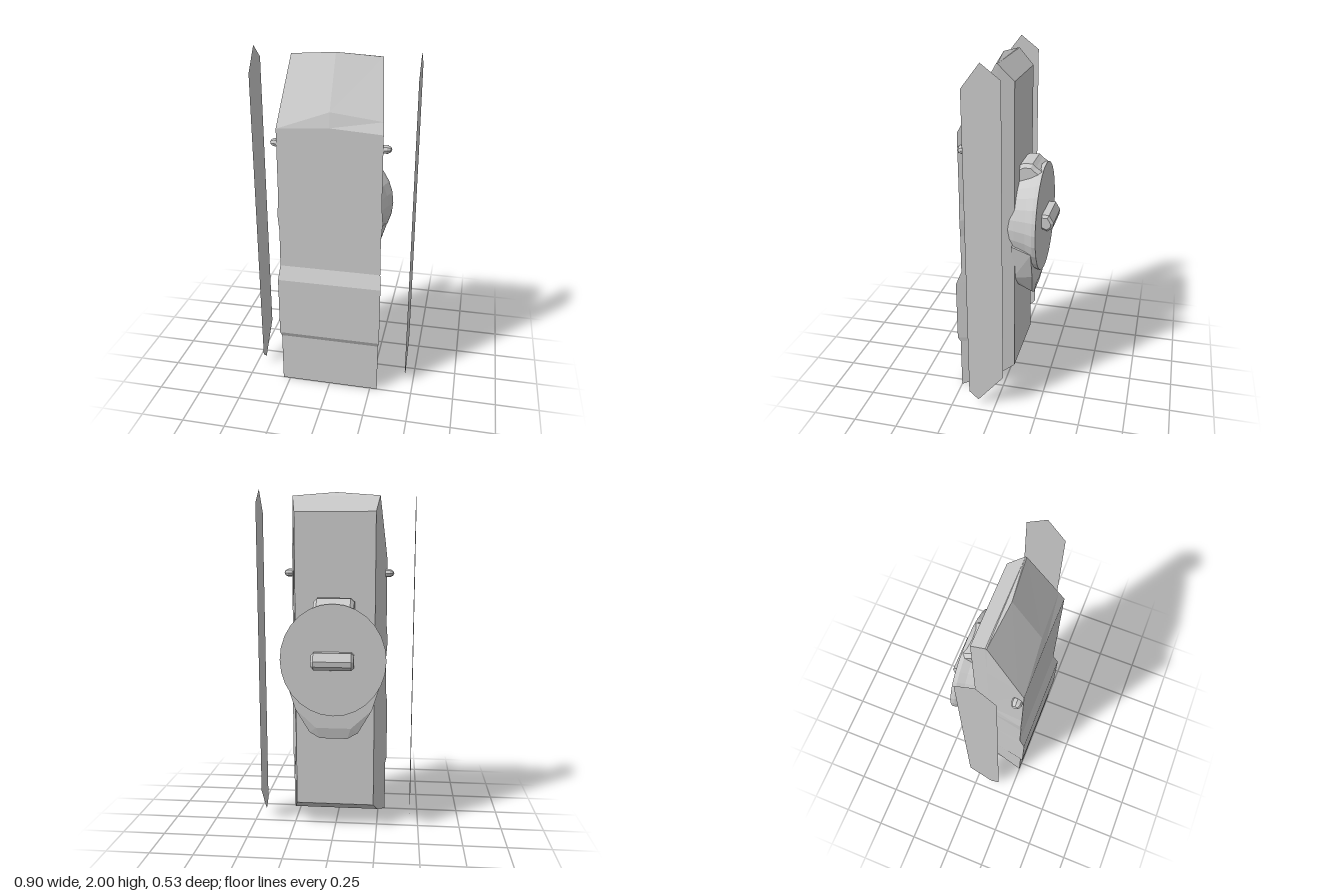
import * as THREE from 'three';
import { ConvexGeometry } from 'three/addons/geometries/ConvexGeometry.js';

const grey = new THREE.MeshStandardMaterial({ color: 0xcccccc, flatShading: true });
const thin = new THREE.MeshStandardMaterial({ color: 0xcccccc, flatShading: true, side: THREE.DoubleSide });

function add(group, name, geometry, material = grey) {
  const mesh = new THREE.Mesh(geometry, material);
  mesh.name = name;
  group.add(mesh);
  return mesh;
}

// Tapered pod lofted upward; each ring runs back, side and front points
function bodyGeometry() {
  // corner y, corner z, half width, centre y, centre z
  const rows = [
    [0, 0.25, 0.293, 0, 0.25],
    [0.31, 0.25, 0.293, 0.31, 0.25],
    [0.34, 0.265, 0.3, 0.34, 0.265],
    [0.7, 0.265, 0.3, 0.7, 0.265],
    [0.78, 0.232, 0.292, 0.78, 0.232],
    [1.0, 0.232, 0.29, 1.0, 0.232],
    [1.1, 0.232, 0.298, 1.1, 0.232],
    [1.2, 0.232, 0.29, 1.2, 0.232],
    [1.6, 0.232, 0.289, 1.62, 0.232],
    [1.66, 0.198, 0.283, 1.7, 0.211],
    [1.96, 0.027, 0.25, 1.98, 0.05],
  ];
  const clamp = THREE.MathUtils.clamp;
  const rings = rows.map(([y, z, w, cy, cz]) => {
    const back = clamp(y, 0.15, 1.87), mid = clamp(y, 0.09, 1.96);
    return [
      [0.23, back, -0.065], [0.25, mid, 0.02], [w, y, z], [0, cy, cz],
      [-w, y, z], [-0.25, mid, 0.02], [-0.23, back, -0.065],
    ];
  });
  const n = 7, index = [];
  for (let i = 0; i < rings.length - 1; i++) {
    for (let j = 0; j < n; j++) {
      const a = i * n + j, b = i * n + (j + 1) % n;
      index.push(a, a + n, b, b, a + n, b + n);
    }
  }
  // End caps, each folded along the side points
  const top = (rings.length - 1) * n;
  for (const poly of [[0, 1, 5, 6], [1, 2, 3, 4, 5]]) {
    for (let k = 1; k < poly.length - 1; k++) {
      index.push(poly[0], poly[k], poly[k + 1]);
      index.push(top + poly[0], top + poly[k + 1], top + poly[k]);
    }
  }
  const g = new THREE.BufferGeometry();
  g.setAttribute('position', new THREE.Float32BufferAttribute(rings.flat(2), 3));
  g.setIndex(index);
  const flat = g.toNonIndexed();
  flat.computeVertexNormals();
  return flat;
}

// Side outline given as [z, y], extruded across x with chamfered ends
function sideBlock(outline, halfWidth, bevel) {
  const shape = new THREE.Shape(outline.map(([z, y]) => new THREE.Vector2(-z, y)));
  const depth = 2 * (halfWidth - bevel);
  const g = new THREE.ExtrudeGeometry(shape, {
    depth, bevelEnabled: true, bevelThickness: bevel, bevelSize: bevel, bevelOffset: -bevel, bevelSegments: 1,
  });
  g.translate(0, 0, -depth / 2);
  return g.rotateY(Math.PI / 2);
}

export function createModel() {
  const model = new THREE.Group();
  model.name = 'pod';

  add(model, 'body', bodyGeometry());

  // Thin side panels and small side knobs
  const panel = new THREE.Shape([
    [-0.155, 1.87], [-0.055, 2], [0.05, 1.92], [0.05, 0.21], [-0.1, 0.03], [-0.155, 0.08],
  ].map(([x, y]) => new THREE.Vector2(x, y)));
  for (const side of [1, -1]) {
    const name = side > 0 ? 'left' : 'right';
    add(model, name + 'Panel', new THREE.ShapeGeometry(panel).rotateY(Math.PI / 2), thin).position.x = 0.45 * side;
    const knob = add(model, name + 'Knob', new THREE.SphereGeometry(1, 8, 5).rotateZ(Math.PI / 2));
    knob.scale.set(0.035, 0.025, 0.03);
    knob.position.set(0.297 * side, 1.515, 0.2);
  }

  // Round bowl on the back, closed by a flat disc
  const profile = [[0.76, 0], [0.85, 0.065], [0.92, 0.13], [0.99, 0.172], [1, 0.195], [0, 0.195]];
  const bowl = new THREE.LatheGeometry(profile.map(([r, y]) => new THREE.Vector2(r, y)), 28);
  bowl.rotateX(-Math.PI / 2).scale(0.3, 0.32, 1);
  add(model, 'backBowl', bowl).position.y = 1.05;

  // Tapered lip below the bowl
  const lip = [];
  for (const s of [1, -1]) {
    for (const [x, y, z] of [
      [0.25, 0.95, -0.05], [0.27, 0.92, -0.165], [0.2, 0.73, -0.05], [0.22, 0.76, -0.165],
      [0.13, 0.66, -0.05], [0.14, 0.62, -0.15], [0.08, 0.585, -0.15], [0.1, 0.65, -0.165],
    ]) lip.push(new THREE.Vector3(x * s, y, z));
  }
  add(model, 'lowerLip', new ConvexGeometry(lip));

  // Catch above the bowl and grip on the disc
  add(model, 'upperCatch', sideBlock([
    [-0.04, 1.25], [-0.19, 1.25], [-0.19, 1.35], [-0.155, 1.375], [-0.135, 1.393], [-0.085, 1.393], [-0.04, 1.37],
  ], 0.115, 0.02));
  add(model, 'grip', sideBlock([
    [-0.18, 1.02], [-0.225, 1.0], [-0.258, 1.025], [-0.262, 1.055], [-0.235, 1.1], [-0.18, 1.1],
  ], 0.12, 0.014));

  return model;
}
